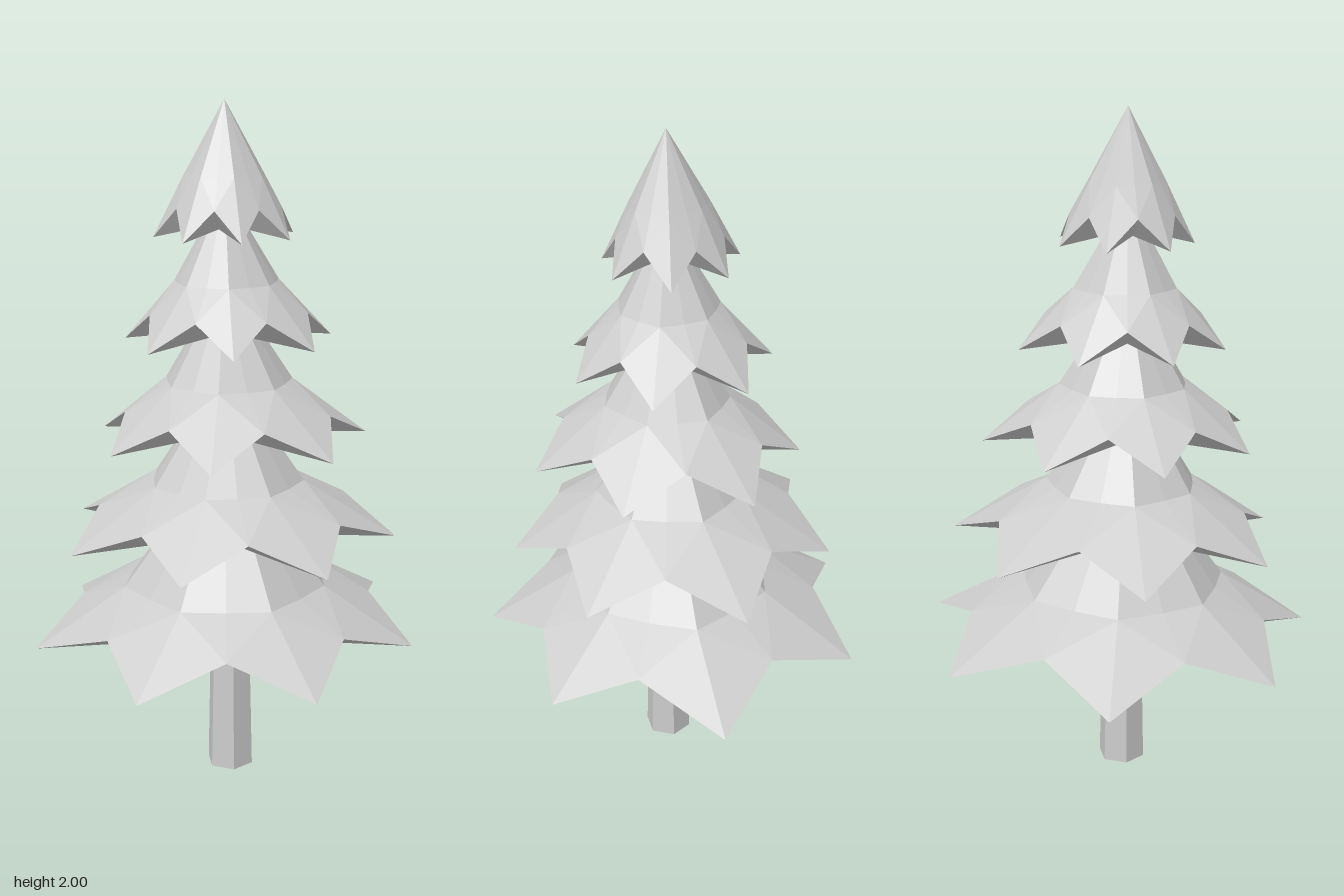
import * as THREE from 'three';

const CX = -0.06, CZ = 0.015; // tree axis
const POINTS = 7;             // branch tips per tier

// Each tier: tip height, apex rise, turn in degrees, mid ring size and the radius of every tip
const TIERS = [
  { y: 0.435, rise: 0.58, turn: 0, mid: 0.53, tips: [0.63, 0.61, 0.6, 0.573, 0.558, 0.56, 0.565] },
  { y: 0.745, rise: 0.51, turn: 10, mid: 0.46, tips: [0.53, 0.5, 0.507, 0.477, 0.45, 0.472, 0.504] },
  { y: 1.045, rise: 0.47, turn: 20, mid: 0.47, tips: [0.424, 0.392, 0.38, 0.38, 0.4, 0.409, 0.42] },
  { y: 1.33, rise: 0.43, turn: 30, mid: 0.5, tips: [0.317, 0.307, 0.29, 0.288, 0.29, 0.298, 0.325] },
  { y: 1.625, rise: 0.375, turn: 40, mid: 0.57, tips: [0.205, 0.215, 0.2, 0.19, 0.183, 0.197, 0.222] },
];

// Star-shaped skirt made from rings: apex, mid ring, jagged rim, inner rim, inner peak
function tierGeometry({ y, rise, turn, mid, tips }) {
  const n = POINTS * 2;
  const mean = tips.reduce((a, b) => a + b) / POINTS;
  const ring = (radius, height) => Array.from({ length: n }, (_, i) => {
    const a = THREE.MathUtils.degToRad(turn) + (i / n) * Math.PI * 2;
    const r = radius(i);
    return [CX + r * Math.cos(a), height(i), CZ - r * Math.sin(a)];
  });
  const isTip = (i) => i % 2 === 0;
  const rim = (i) => isTip(i)
    ? tips[i / 2]
    : 0.38 * (tips[(i - 1) / 2] + tips[((i + 1) / 2) % POINTS]);
  const rings = [
    ring(() => 0, () => y + rise),
    ring((i) => rim(i) * (isTip(i) ? mid : mid * 1.22), () => y + 0.17),
    ring(rim, (i) => y + (isTip(i) ? 0 : 0.085)),
    ring((i) => mean * (isTip(i) ? 0.46 : 0.4), () => y + 0.03),
    ring(() => 0, () => y + 0.32),
  ];

  const pos = [];
  for (let k = 0; k < rings.length - 1; k++) {
    const up = rings[k], low = rings[k + 1];
    for (let i = 0; i < n; i++) {
      const j = (i + 1) % n;
      // mirror the diagonal on either side of each tip
      if (isTip(i)) pos.push(...low[i], ...low[j], ...up[i], ...low[j], ...up[j], ...up[i]);
      else pos.push(...low[i], ...low[j], ...up[j], ...low[i], ...up[j], ...up[i]);
    }
  }
  const g = new THREE.BufferGeometry();
  g.setAttribute('position', new THREE.Float32BufferAttribute(pos, 3));
  g.computeVertexNormals();
  return g;
}

export function createModel() {
  const tree = new THREE.Group();
  tree.name = 'pineTree';
  const grey = new THREE.MeshStandardMaterial({ color: 0xcccccc, flatShading: true });
  grey.name = 'lightGrey';

  // Six-sided tapering trunk
  const trunk = new THREE.Mesh(new THREE.CylinderGeometry(0.055, 0.072, 0.75, 6), grey);
  trunk.name = 'trunk';
  trunk.rotation.y = Math.PI / 6;
  trunk.position.set(-0.046, 0.375, 0.02);
  tree.add(trunk);

  // Branch tiers from bottom to top
  TIERS.forEach((tier, i) => {
    const mesh = new THREE.Mesh(tierGeometry(tier), grey);
    mesh.name = `branchTier${i + 1}`;
    tree.add(mesh);
  });
  return tree;
}
